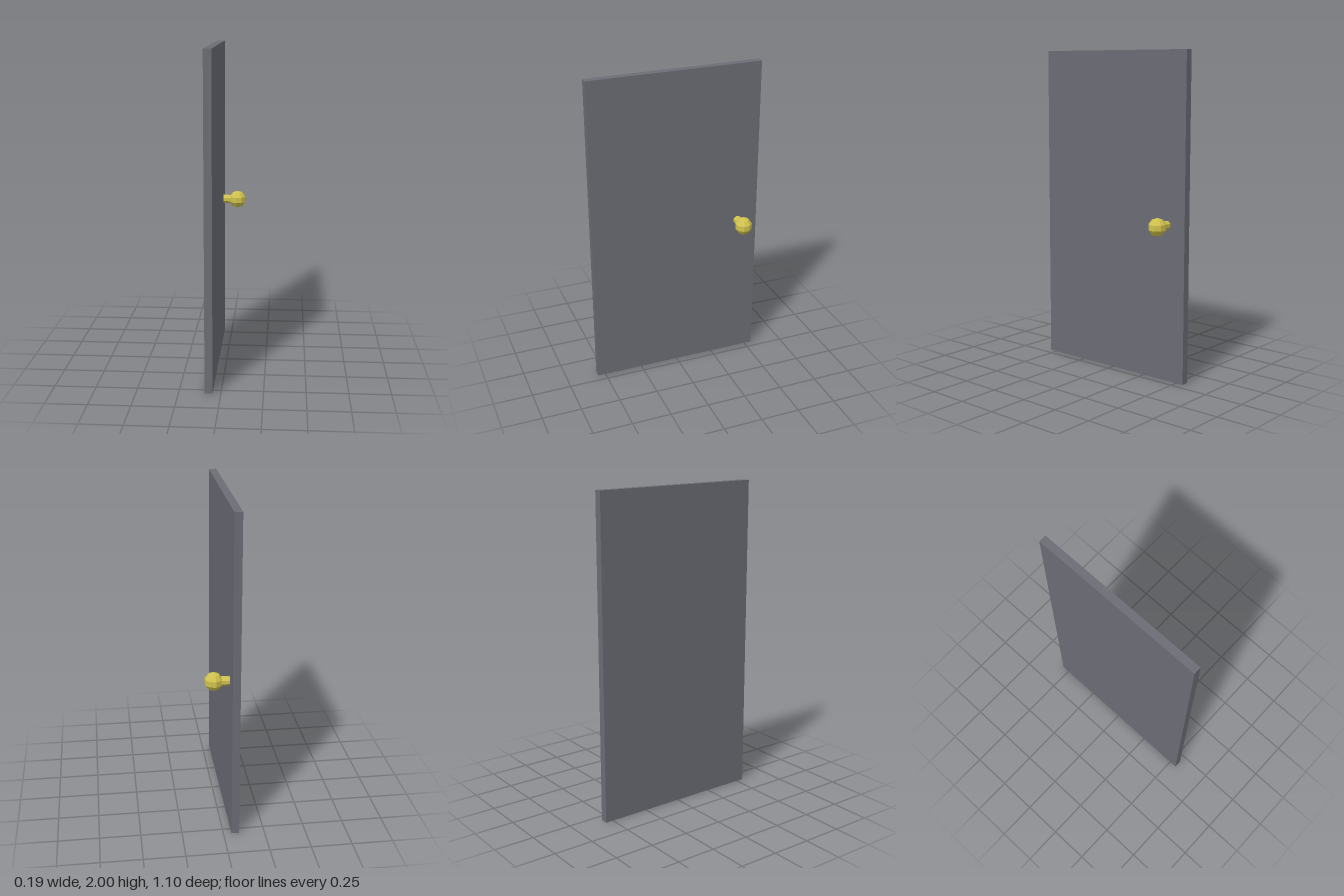
import * as THREE from 'three';

export function createModel() {
  const slate = new THREE.MeshStandardMaterial({ color: 0x6b6d75, flatShading: true });
  slate.name = 'slate grey';
  const brass = new THREE.MeshStandardMaterial({ color: 0xd0c24e, flatShading: true });
  brass.name = 'brass yellow';

  const model = new THREE.Group();
  model.name = 'door';

  const add = (name, geometry, material, x, y, z) => {
    const mesh = new THREE.Mesh(geometry, material);
    mesh.name = name;
    mesh.position.set(x, y, z);
    model.add(mesh);
  };

  // Plain slab
  add('doorPanel', new THREE.BoxGeometry(0.047, 2, 1.1), slate, -0.0725, 1, 0);

  // Handle on the +x face: short stem and faceted knob
  const handleY = 0.965, handleZ = -0.42;
  const stem = new THREE.CylinderGeometry(0.028, 0.028, 0.08, 8);
  stem.rotateY(Math.PI / 8).rotateZ(-Math.PI / 2);
  add('knobStem', stem, brass, -0.02, handleY, handleZ);
  add('knob', new THREE.SphereGeometry(0.056, 9, 5), brass, 0.045, handleY, handleZ);

  return model;
}
